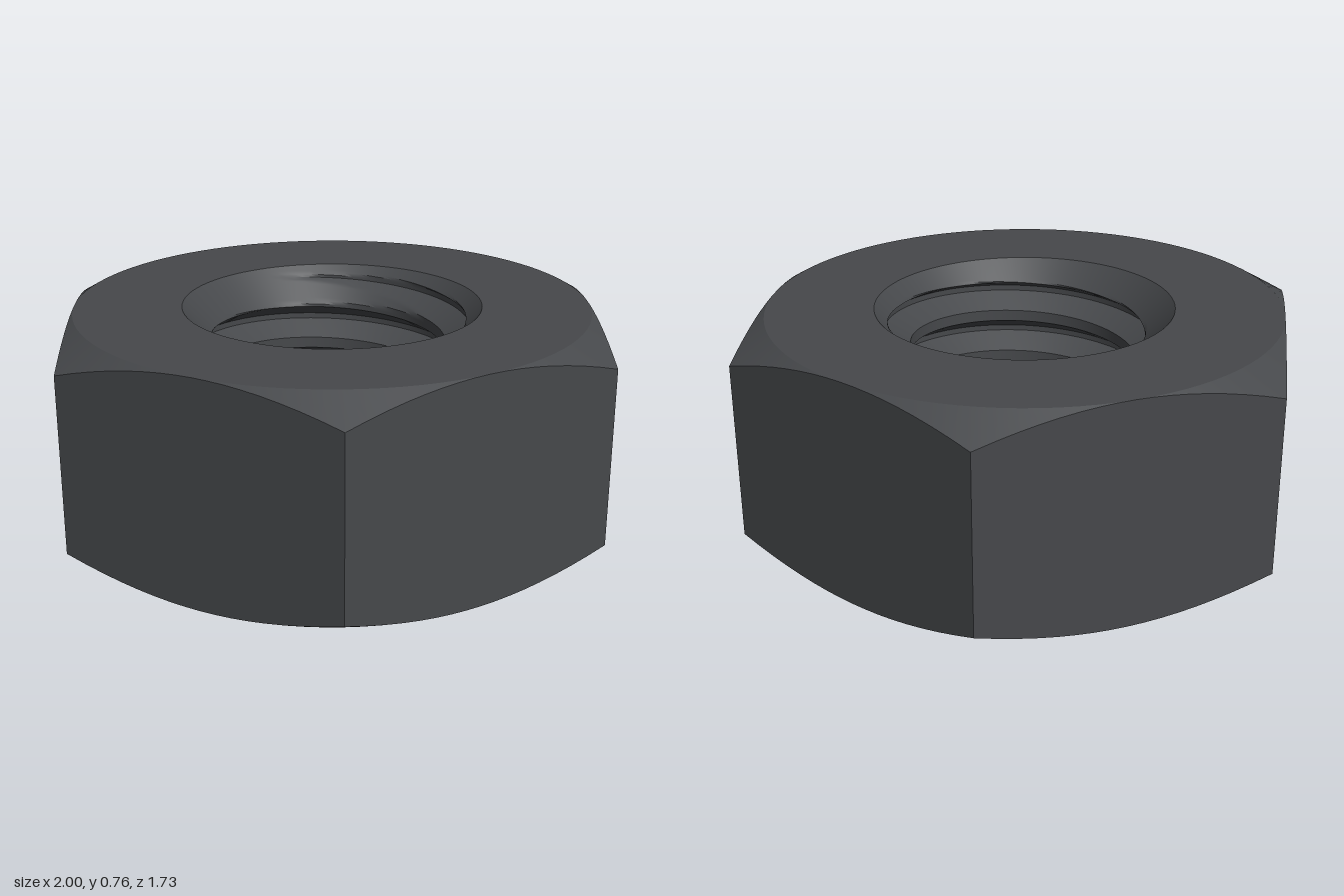
import * as THREE from 'three';
import { toCreasedNormals } from 'three/addons/utils/BufferGeometryUtils.js';

const H = 0.757;                 // height
const APOTHEM = Math.sqrt(3) / 2; // half width across flats
const RIM = 0.505;               // countersink radius at both faces
const MINOR = 0.387, MAJOR = 0.472, PITCH = 0.157;
const SEG = 96;                  // divisible by 12, so hex corners and flat centres are hit

// Surface wrapped around the y axis; point(row, angle) returns [radius, y]
function wrap(rows, point, crease) {
  const pos = [];
  const at = (i, j) => {
    const a = (j / SEG) * Math.PI * 2;
    const [r, y] = point(i, a);
    return new THREE.Vector3(r * Math.cos(a), y, r * Math.sin(a));
  };
  const tri = (...p) => {
    const area = p[1].clone().sub(p[0]).cross(p[2].clone().sub(p[0])).length();
    if (area > 1e-8) p.forEach(v => pos.push(v.x, v.y, v.z));
  };
  for (let i = 0; i < rows - 1; i++) {
    for (let j = 0; j < SEG; j++) {
      const a = at(i, j), b = at(i + 1, j), c = at(i, j + 1), d = at(i + 1, j + 1);
      tri(a, c, b);
      tri(c, d, b);
    }
  }
  const g = new THREE.BufferGeometry();
  g.setAttribute('position', new THREE.Float32BufferAttribute(pos, 3));
  return toCreasedNormals(g, crease);
}

// Hexagonal prism with 30 degree conical chamfers on both faces
function bodyPoint(i, a) {
  const side = Math.PI / 3;
  const hex = APOTHEM / Math.cos((a % side) - side / 2);
  const drop = (hex - APOTHEM) * Math.tan(Math.PI / 6);
  return [
    [RIM, H], [APOTHEM, H], [hex, H - drop],
    [hex, drop], [APOTHEM, 0], [RIM, 0],
  ][i];
}

// Row heights within one pitch, measured from the middle of a groove
const pitchRows = [];
[[0, 0.0625, 1], [0.0625, 0.375, 8], [0.375, 0.625, 4], [0.625, 0.9375, 8], [0.9375, 1, 1]]
  .forEach(([from, to, n]) => {
    for (let k = 0; k < n; k++) pitchRows.push(from + ((to - from) * k) / n);
  });
const TURNS = 7;

// Right-hand thread cut into the bore, with 45 degree countersinks at both ends
function borePoint(i, a) {
  const n = pitchRows.length;
  const helix = H - 0.059 - (PITCH * a) / (Math.PI * 2);
  const turn = Math.floor(i / n) - 5;
  const y = THREE.MathUtils.clamp(helix + (turn + pitchRows[i % n]) * PITCH, 0, H);
  const t = (y - helix) / PITCH;
  const fromGroove = Math.abs(t - Math.round(t));
  const cut = THREE.MathUtils.clamp((0.375 - fromGroove) / 0.3125, 0, 1);
  const thread = MINOR + (MAJOR - MINOR) * cut;
  return [Math.max(thread, RIM - Math.min(y, H - y)), y];
}

export function createModel() {
  const group = new THREE.Group();
  group.name = 'hexNut';
  const material = new THREE.MeshStandardMaterial({ color: 0x46484b });

  const body = new THREE.Mesh(wrap(6, bodyPoint, 0.35), material);
  body.name = 'hexBody';

  const bore = new THREE.Mesh(wrap(TURNS * pitchRows.length + 1, borePoint, 0.5), material);
  bore.name = 'threadedBore';

  group.add(body, bore);
  return group;
}
